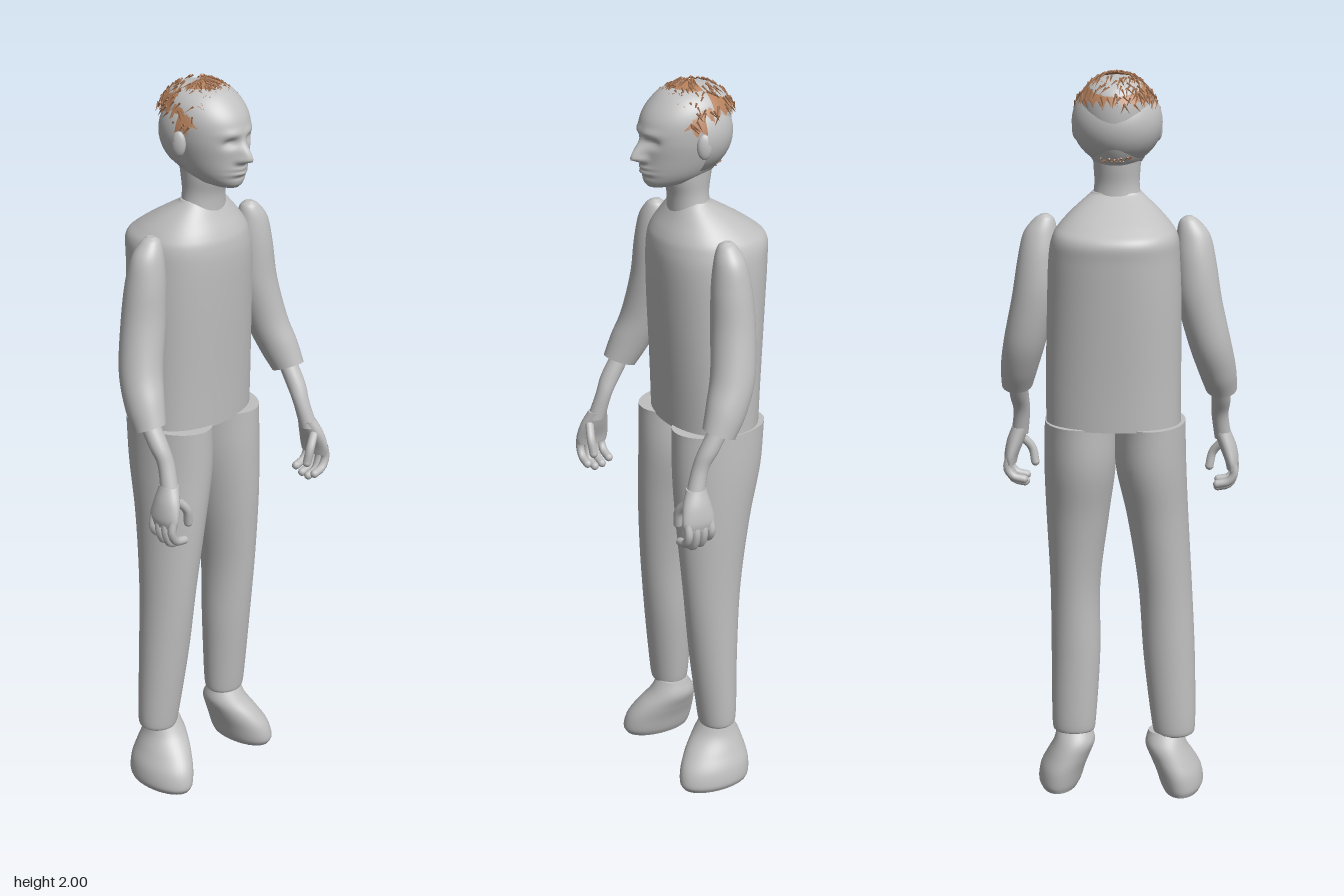
import * as THREE from 'three';
import { mergeGeometries } from 'three/addons/utils/BufferGeometryUtils.js';

const grey = new THREE.MeshStandardMaterial({ color: 0xc0c0c0, side: THREE.DoubleSide });
grey.name = 'plain grey';
const brown = new THREE.MeshStandardMaterial({ color: 0xb5805c, side: THREE.DoubleSide });
brown.name = 'hair brown';

// Smooth capped loft; each row is [y, xMin, xMax, zFront, zBack, tilt], bottom to top
function loft(rows, segs = 36, steps = 6, power = 1) {
  const curve = (pick) => new THREE.CatmullRomCurve3(rows.map(pick), false, 'catmullrom', 0.5);
  const c1 = curve((r) => new THREE.Vector3(r[0], r[1], r[2]));
  const c2 = curve((r) => new THREE.Vector3(r[3], r[4], r[5] || 0));
  const n = (rows.length - 1) * steps, pos = [], idx = [];
  const round = (v) => Math.sign(v) * Math.abs(v) ** power;
  const ring = (t) => {
    const p = c1.getPoint(t), q = c2.getPoint(t);
    for (let i = 0; i < segs; i++) {
      const a = (i / segs) * Math.PI * 2;
      const dz = round(Math.sin(a)) * (q.x - q.y) / 2;
      pos.push((p.y + p.z) / 2 + round(Math.cos(a)) * (p.z - p.y) / 2, p.x + q.z * dz, (q.x + q.y) / 2 + dz);
    }
    return [(p.y + p.z) / 2, p.x, (q.x + q.y) / 2];
  };
  for (let j = 0; j <= n; j++) ring(j / n);
  for (let j = 0; j < n; j++) for (let i = 0; i < segs; i++) {
    const k = (i + 1) % segs, a = j * segs + i, b = j * segs + k;
    idx.push(a, a + segs, b, b, a + segs, b + segs);
  }
  for (const t of [0, 1]) {
    const start = pos.length / 3;
    pos.push(...ring(t));
    for (let i = 0; i < segs; i++) {
      const a = start + i, b = start + (i + 1) % segs;
      if (t) idx.push(start + segs, b, a); else idx.push(start + segs, a, b);
    }
  }
  const g = new THREE.BufferGeometry();
  g.setAttribute('position', new THREE.Float32BufferAttribute(pos, 3));
  g.setIndex(idx);
  g.computeVertexNormals();
  return g;
}

const mirrorRows = (rows, s) => s > 0 ? rows : rows.map(([y, a, b, ...z]) => [y, -b, -a, ...z]);

// Round-ended finger along a few points
function finger(points, r) {
  const v = points.map((p) => new THREE.Vector3(...p));
  const tip = new THREE.SphereGeometry(r, 10, 8).translate(...points[points.length - 1]);
  return mergeGeometries([new THREE.TubeGeometry(new THREE.CatmullRomCurve3(v), 10, r, 10), tip]);
}

// Point on the scalp: phi runs round the head (0..PI is the front), theta down from the crown
function scalp(phi, theta, k = 1) {
  return new THREE.Vector3(-0.109 * Math.cos(phi) * Math.sin(theta) * k,
    1.872 + 0.119 * Math.cos(theta) * k, 0.118 * Math.sin(phi) * Math.sin(theta) * k);
}

// Patch of hair between two hairlines
function hairPatch(start, length, upper, lower, k) {
  const g = new THREE.SphereGeometry(1, 48, 6, start, length, 0.1, 1);
  const p = g.attributes.position, uv = g.attributes.uv;
  for (let i = 0; i < p.count; i++) {
    const phi = start + uv.getX(i) * length;
    const t0 = upper(phi), v = 1 - uv.getY(i);
    const q = scalp(phi, t0 + v * (lower(phi) - t0), k);
    p.setXYZ(i, q.x, q.y, q.z);
  }
  g.computeVertexNormals();
  return g;
}

export function createModel() {
  const model = new THREE.Group();
  const add = (name, geo, mat = grey, parent = model) => {
    const m = new THREE.Mesh(geo, mat);
    m.name = name;
    parent.add(m);
    return m;
  };

  // Torso
  add('torso', loft([
    [1.07, -0.175, 0.185, 0.085, -0.163], [1.2, -0.175, 0.185, 0.09, -0.17], [1.4, -0.175, 0.18, 0.1, -0.185],
    [1.52, -0.17, 0.175, 0.104, -0.194], [1.575, -0.165, 0.165, 0.1, -0.196], [1.605, -0.148, 0.148, 0.09, -0.165],
    [1.64, -0.115, 0.115, 0.07, -0.11], [1.675, -0.075, 0.075, 0.05, -0.05], [1.685, -0.065, 0.065, 0.04, -0.04],
  ], 56, 6, 0.9));

  // Legs, the right one standing slightly wider
  const legs = { left: [
    [0.17, 0.065, 0.17, 0.03, -0.06], [0.2, 0.057, 0.178, 0.036, -0.07], [0.4, 0.045, 0.18, 0.06, -0.075],
    [0.6, 0.045, 0.182, 0.08, -0.085], [0.8, 0.02, 0.19, 0.095, -0.115], [0.95, 0, 0.193, 0.1, -0.15],
    [1.075, 0, 0.19, 0.1, -0.162],
  ], right: [
    [0.17, -0.21, -0.11, 0.03, -0.06], [0.2, -0.22, -0.1, 0.036, -0.07], [0.4, -0.217, -0.075, 0.06, -0.075],
    [0.6, -0.207, -0.06, 0.08, -0.085], [0.8, -0.196, -0.03, 0.095, -0.115], [0.95, -0.19, 0, 0.1, -0.15],
    [1.075, -0.187, 0, 0.1, -0.162],
  ] };
  const shoe = [
    [0, 0.11, 0.212, 0.108, -0.085], [0.02, 0.1, 0.22, 0.118, -0.092], [0.06, 0.088, 0.214, 0.11, -0.095],
    [0.1, 0.073, 0.195, 0.085, -0.09], [0.14, 0.06, 0.175, 0.05, -0.08], [0.178, 0.068, 0.165, 0.025, -0.058],
  ];

  // Arms and hands, mirrored
  const sleeve = [
    [1.14, 0.235, 0.32, 0.113, 0.028, 0.4], [1.2, 0.215, 0.318, 0.095, -0.01, 0.3], [1.28, 0.19, 0.305, 0.072, -0.045, 0.1],
    [1.4, 0.16, 0.28, 0.056, -0.06], [1.5, 0.155, 0.264, 0.05, -0.056], [1.57, 0.158, 0.248, 0.04, -0.042],
    [1.608, 0.165, 0.22, 0.026, -0.026], [1.622, 0.18, 0.2, 0.012, -0.012],
  ];
  const forearm = [
    [0.98, 0.258, 0.305, 0.168, 0.118], [1.05, 0.25, 0.296, 0.145, 0.1], [1.1, 0.25, 0.302, 0.126, 0.07],
    [1.17, 0.25, 0.302, 0.085, 0.03],
  ];
  const palm = [
    [0.895, 0.292, 0.322, 0.188, 0.102], [0.92, 0.286, 0.325, 0.192, 0.098], [0.96, 0.27, 0.318, 0.184, 0.104],
    [1.0, 0.257, 0.303, 0.166, 0.112],
  ];
  for (const [side, s] of [['left', 1], ['right', -1]]) {
    add(side + 'Leg', loft(legs[side]));
    const foot = add(side + 'Shoe', loft(mirrorRows(shoe, s)));
    if (s < 0) foot.position.x = -0.022;
    const arm = new THREE.Group();
    arm.name = side + 'Arm';
    model.add(arm);
    add('sleeve', loft(mirrorRows(sleeve, s)), grey, arm);
    add('forearm', loft(mirrorRows(forearm, s), 24), grey, arm);
    add('palm', loft(mirrorRows(palm, s), 24), grey, arm);
    for (let i = 0; i < 4; i++) {
      const z = 0.113 + i * 0.022, low = [0.855, 0.842, 0.838, 0.85][i];
      add('finger', finger([[s * 0.308, 0.92, z], [s * 0.314, 0.885, z],
        [s * 0.298, low + 0.008, z], [s * 0.268, low, z]], 0.0115), grey, arm);
    }
    add('thumb', finger([[s * 0.28, 0.965, 0.165], [s * 0.252, 0.93, 0.175], [s * 0.243, 0.89, 0.172]], 0.012), grey, arm);
    // Ears
    const ear = add(side + 'Ear', new THREE.SphereGeometry(1, 16, 12));
    ear.scale.set(0.012, 0.034, 0.02);
    ear.position.set(s * 0.106, 1.85, 0.018);
    ear.rotation.y = -s * 0.3;
  }

  // Neck
  add('neck', loft([[1.64, -0.07, 0.07, 0.06, -0.05], [1.7, -0.06, 0.06, 0.062, -0.045],
    [1.75, -0.062, 0.062, 0.075, -0.052], [1.8, -0.065, 0.065, 0.075, -0.06]]));

  // Head, with the face raised and sunk by soft bumps
  const head = loft([
    [1.733, -0.028, 0.028, 0.122, 0.03], [1.745, -0.05, 0.05, 0.132, -0.025], [1.77, -0.07, 0.07, 0.137, -0.065],
    [1.81, -0.086, 0.086, 0.139, -0.09], [1.86, -0.098, 0.098, 0.142, -0.104], [1.91, -0.1, 0.1, 0.134, -0.107],
    [1.95, -0.088, 0.088, 0.106, -0.098], [1.978, -0.058, 0.058, 0.068, -0.066], [1.988, -0.01, 0.01, 0.015, -0.015],
  ], 100, 9);
  const p = head.attributes.position;
  const bump = (x, y, cx, cy, sx, sy) => Math.exp(-(((x - cx) / sx) ** 2) - ((y - cy) / sy) ** 2);
  for (let i = 0; i < p.count; i++) {
    const x = p.getX(i), y = p.getY(i), z = p.getZ(i), ax = Math.abs(x);
    if (z < 0.06) continue;
    p.setZ(i, z + 0.035 * bump(x, y, 0, 1.812, 0.016, y < 1.812 ? 0.01 : 0.034)
      + 0.006 * bump(ax, y, 0.016, 1.811, 0.008, 0.008)
      - 0.014 * bump(ax, y, 0.034, 1.856, 0.018, 0.011) + 0.005 * bump(ax, y, 0.034, 1.853, 0.01, 0.005)
      + 0.005 * bump(ax, y, 0.03, 1.88, 0.03, 0.01)
      + 0.01 * bump(x, y, 0, 1.78, 0.026, 0.014) - 0.008 * bump(x, y, 0, 1.78, 0.03, 0.003)
      - 0.004 * bump(x, y, 0, 1.763, 0.03, 0.006));
  }
  head.computeVertexNormals();
  add('head', head);

  // Wider shell round the back of the skull
  const shell = add('skullBack', new THREE.SphereGeometry(1, 32, 24, Math.PI, Math.PI));
  shell.scale.set(0.119, 0.113, 0.122);
  shell.position.set(0, 1.866, 0.015);

  // Hair: front cap, back band and loose locks
  const jag = (phi) => 0.07 * Math.sin(phi * 23) + 0.04 * Math.sin(phi * 41);
  const frontLine = (phi) => 1.5 - 0.48 * Math.sin(phi) ** 2 + jag(phi);
  add('frontHair', hairPatch(-0.1, Math.PI + 0.2, () => 0.02, frontLine, 1.035), brown);
  add('backHair', hairPatch(Math.PI + 0.15, Math.PI - 0.3, (a) => 0.6 + jag(a + 1), (a) => 1.12 + jag(a), 1.05), brown);

  let seed = 7;
  const rnd = () => (seed = (seed * 16807) % 2147483647) / 2147483647;
  const up = new THREE.Vector3(0, 1, 0), locks = [];
  const lock = (phi, theta, k, len) => {
    const a = scalp(phi, theta, k);
    const dir = scalp(phi + (rnd() - 0.5) * 0.5, theta + 0.2, k + 0.01).sub(a).normalize();
    const g = new THREE.ConeGeometry(0.0035, len, 3);
    g.applyQuaternion(new THREE.Quaternion().setFromUnitVectors(up, dir));
    locks.push(g.translate(a.x, a.y, a.z));
  };
  for (let i = 0; i < 110; i++) {
    const phi = rnd() * Math.PI;
    lock(phi, 0.15 + rnd() * (frontLine(phi) - 0.15), 1.04, 0.03);
  }
  for (let i = 0; i < 90; i++) lock(Math.PI * (1.03 + rnd() * 0.94), 0.45 + rnd() * 0.8, 1.06, 0.03);
  for (let i = 0; i < 14; i++) lock(Math.PI * (1.3 + rnd() * 0.4), 2.45 + rnd() * 0.2, 1.0, 0.025);
  add('hairLocks', mergeGeometries(locks), brown);

  return model;
}
